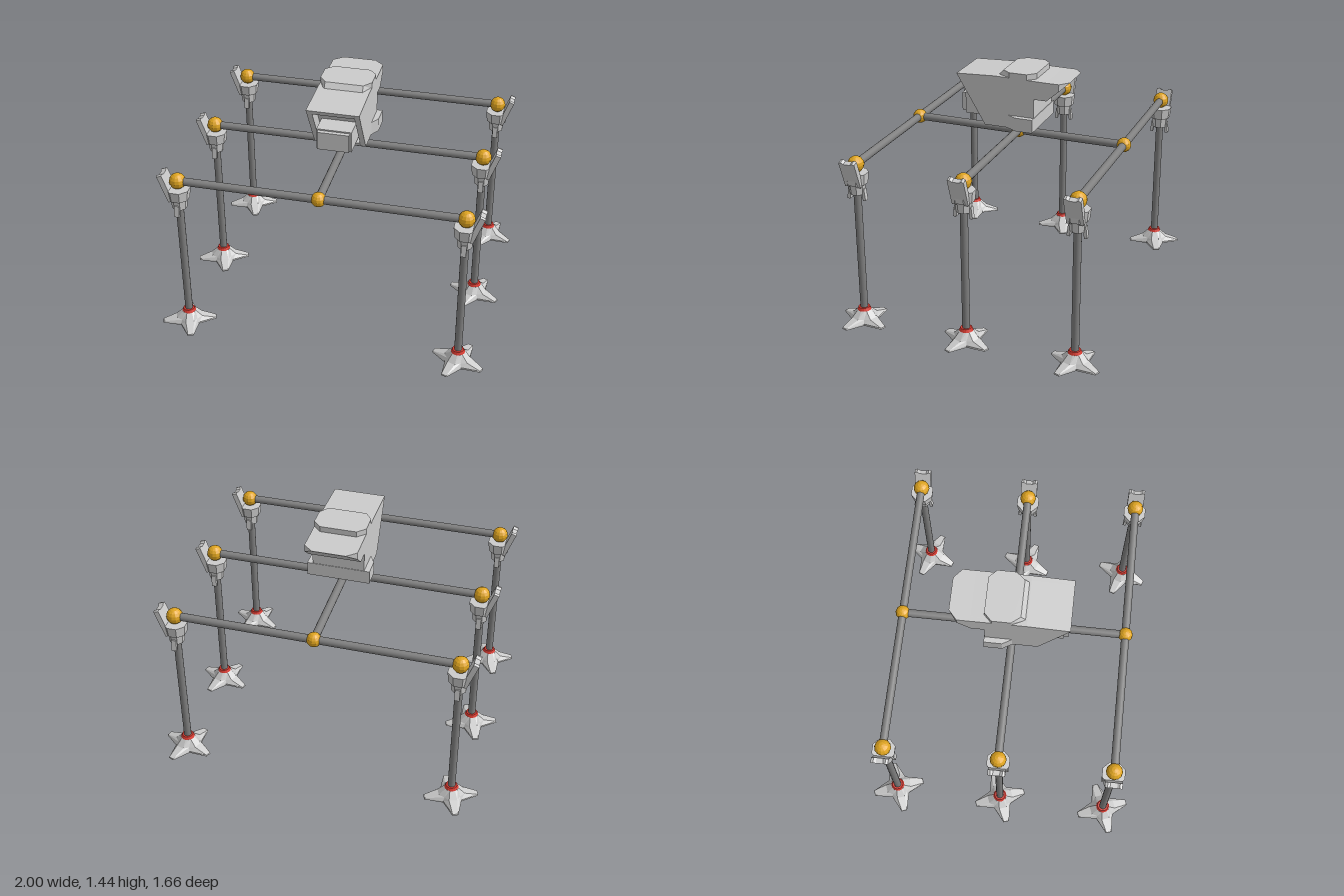
import * as THREE from 'three';

const paint = (color) => new THREE.MeshStandardMaterial({ color, flatShading: true });
const grey = paint(0xcccccc);
const steel = new THREE.MeshStandardMaterial({ color: 0x808080 });
const gold = paint(0xe0a520);
const red = paint(0xd83a30);

function add(parent, name, geometry, material, x = 0, y = 0, z = 0) {
  const mesh = new THREE.Mesh(geometry, material);
  mesh.name = name;
  mesh.position.set(x, y, z);
  parent.add(mesh);
  return mesh;
}

const toShape = (pts) => new THREE.Shape(pts.map(([a, b]) => new THREE.Vector2(a, b)));

// Side outline of (z, y) points, extruded from x0 to x1
function sideExtrude(pts, x0, x1) {
  const g = new THREE.ExtrudeGeometry(toShape(pts), { depth: x1 - x0, bevelEnabled: false });
  return g.rotateY(-Math.PI / 2).translate(x1, 0, 0);
}

// Half plan outline of (x, z) points, mirrored in x and extruded from y0 to y1
function planExtrude(half, y0, y1) {
  const pts = [...half.map(([x, z]) => [x, -z]), ...half.map(([x, z]) => [-x, -z]).reverse()];
  const g = new THREE.ExtrudeGeometry(toShape(pts), { depth: y1 - y0, bevelEnabled: false });
  return g.rotateX(-Math.PI / 2).translate(0, y0, 0);
}

// Move the vertices of a geometry by a rule
function bend(g, rule) {
  const p = g.attributes.position;
  const v = new THREE.Vector3();
  for (let i = 0; i < p.count; i++) {
    rule(v.fromBufferAttribute(p, i));
    p.setXYZ(i, v.x, v.y, v.z);
  }
  g.computeVertexNormals();
  return g;
}

// Four-armed foot lofted from rings; each arm has a valley and two tip corners
function footGeometry() {
  const rings = [ // y of valley, radius of valley, y of arm, radius of arm, half width of arm
    [0, 0.078, 0, 0.165, 0.018],
    [0.012, 0.078, 0.008, 0.163, 0.016],
    [0.034, 0.066, 0.036, 0.082, 0.026],
    [0.076, 0.043, 0.076, 0.041, 0.017],
  ];
  const pos = [];
  const index = [];
  for (const [vy, vr, ay, ar, w] of rings) {
    for (let k = 0; k < 4; k++) {
      const a = k * Math.PI / 2;
      const d = Math.atan2(w, ar);
      for (const [t, r, y] of [[a - d, ar, ay], [a + d, ar, ay], [a + Math.PI / 4, vr, vy]]) {
        pos.push(r * Math.cos(t), y, -r * Math.sin(t));
      }
    }
  }
  const n = 12;
  const last = (rings.length - 1) * n;
  const bottom = pos.length / 3;
  pos.push(0, 0, 0, 0, 0.076, 0);
  for (let i = 0; i < n; i++) {
    const j = (i + 1) % n;
    for (let r = 0; r < last; r += n) index.push(r + i, r + j, r + n + j, r + i, r + n + j, r + n + i);
    index.push(bottom, j, i, bottom + 1, last + i, last + j);
  }
  const g = new THREE.BufferGeometry();
  g.setAttribute('position', new THREE.Float32BufferAttribute(pos, 3));
  g.setIndex(index);
  const flat = g.toNonIndexed();
  flat.computeVertexNormals();
  return flat;
}

function createLeg(side, foot) {
  const leg = new THREE.Group();
  leg.name = 'leg';
  add(leg, 'legTube', new THREE.CylinderGeometry(0.023, 0.023, 0.86, 16), steel, 0, 0.51, 0);
  add(leg, 'foot', foot, grey).rotation.y = -side * 0.36;
  add(leg, 'footRing', new THREE.CylinderGeometry(0.034, 0.042, 0.018, 16), red, 0, 0.084, 0);

  // Stepped collar around the top of the tube
  const collar = (r0, r1, y0, y1) => add(leg, 'collar',
    new THREE.CylinderGeometry(r1, r0, y1 - y0, 8).rotateY(Math.PI / 8), grey, 0, (y0 + y1) / 2, 0);
  collar(0.064, 0.072, 0.905, 0.972);
  collar(0.044, 0.05, 0.84, 0.905);
  for (const s of [-1, 1]) {
    add(leg, 'clip', new THREE.BoxGeometry(0.03, 0.07, 0.018), grey, 0, 0.838, s * 0.046).rotation.x = -s * 0.12;
  }

  // Leaning outer plate with a notched top
  const plate = toShape([[-0.05, -0.09], [0.05, -0.09], [0.05, 0.085], [0.035, 0.09],
    [0.02, 0.08], [-0.02, 0.08], [-0.035, 0.09], [-0.05, 0.085]]);
  const plateGeo = new THREE.ExtrudeGeometry(plate, { depth: 0.032, bevelEnabled: false })
    .translate(0, 0, -0.016).rotateY(Math.PI / 2);
  add(leg, 'outerPlate', plateGeo, grey, side * 0.063, 0.985, 0).rotation.z = -side * 0.35;
  add(leg, 'endJoint', new THREE.SphereGeometry(0.049, 12, 8), gold, 0, 1.02, 0);
  return leg;
}

function createHead() {
  const head = new THREE.Group();
  head.name = 'head';

  // Rear and top outline shared by the core and the side walls
  const rear = [[0.158, 1.09], [-0.154, 1.09], [-0.154, 1.288], [-0.234, 1.288], [-0.234, 1.4], [0.09, 1.405], [0.34, 1.393]];
  const recess = [[0.322, 1.362], [0.235, 1.362], [0.1, 1.12], [0.178, 1.12]];
  add(head, 'headCore', sideExtrude([...rear, ...recess].reverse(), -0.125, 0.125), grey);
  for (const x of [-0.157, 0.125]) {
    add(head, 'headWall', sideExtrude([...rear].reverse(), x, x + 0.032), grey);
  }

  // Overhanging tail with cut corners and a sloping underside
  const tail = planExtrude([[0.157, -0.234], [0.157, -0.31], [0.1, -0.36]].reverse(), 1.288, 1.4);
  add(head, 'headTail', bend(tail, (v) => {
    v.y = Math.max(v.y, 1.288 + (-0.234 - v.z) * 0.885);
  }), grey);

  // Raised roof panel with a sloping front
  const roof = planExtrude([[0.11, -0.156], [0.157, -0.11], [0.157, 0.0], [0.115, 0.088]].reverse(), 1.395, 1.436);
  add(head, 'roofPanel', bend(roof, (v) => {
    if (v.y > 1.42 && v.z > 0.05) v.z -= 0.035;
  }), grey);

  // Lower cheeks, tapering forwards
  add(head, 'cheeks', planExtrude([[0.19, -0.157], [0.19, -0.05], [0.15, 0.02]].reverse(), 1.087, 1.17), grey);

  // Snout box in the recess
  add(head, 'snout', new THREE.BoxGeometry(0.21, 0.13, 0.205), grey, 0, 1.195, 0.2025);
  add(head, 'snoutFront', new THREE.BoxGeometry(0.19, 0.112, 0.026), grey, 0, 1.196, 0.318);
  return head;
}

export function createModel() {
  const model = new THREE.Group();
  model.name = 'sixLeggedFrame';
  const foot = footGeometry();
  const tube = (length) => new THREE.CylinderGeometry(0.024, 0.024, length, 16);

  // Spine and three cross bars with their joints and legs
  add(model, 'spine', tube(1.34).rotateX(Math.PI / 2), steel, 0, 1.02, 0);
  for (const z of [-0.67, 0, 0.67]) {
    add(model, 'crossBar', tube(1.68).rotateZ(Math.PI / 2), steel, 0, 1.02, z);
    add(model, 'centreJoint', new THREE.SphereGeometry(0.044, 12, 8), gold, 0, 1.02, z);
    for (const side of [-1, 1]) {
      const leg = createLeg(side, foot);
      leg.position.set(side * 0.84, 0, z);
      model.add(leg);
    }
  }
  model.add(createHead());
  return model;
}
